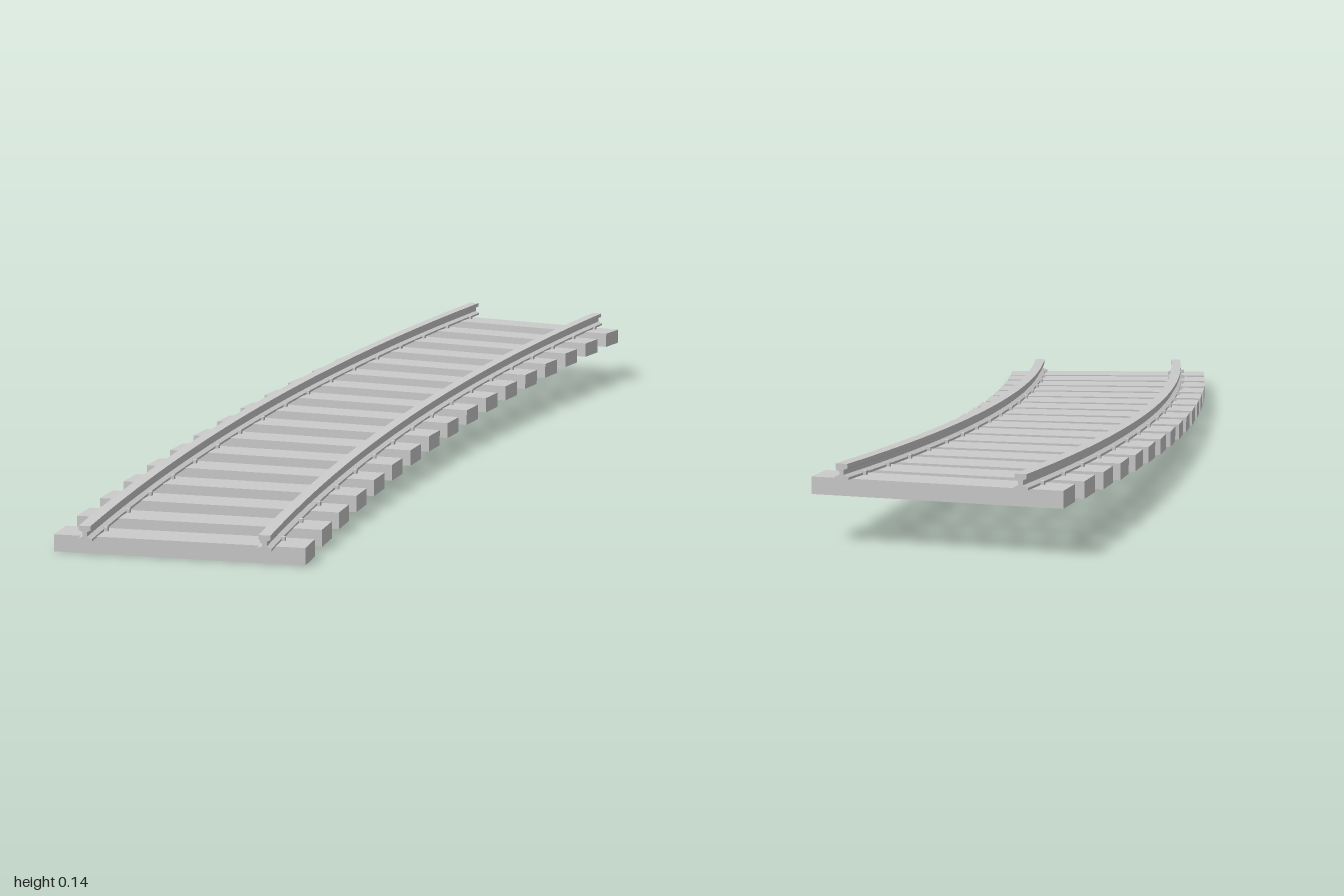
import * as THREE from 'three';

const RADIUS = 6.856, CX = 2.191, CZ = 6.436;    // centre line of the curve
const A0 = THREE.MathUtils.degToRad(27.03), A1 = THREE.MathUtils.degToRad(10.33);
const SLEEPERS = 17, RISE = 0.088, BASE = 0.0274; // climb and height of rail foot
const GAUGE = 0.315, SLEEPER_H = 0.03;

// Maps (distance along 0..1, sideways offset, height above rail foot) to the climbing curve
function onTrack(t, u, h) {
  const a = THREE.MathUtils.lerp(A0, A1, t), r = RADIUS + u;
  return new THREE.Vector3(CX - r * Math.sin(a), BASE + RISE * t + h, CZ - r * Math.cos(a));
}

// Right half of the rail section, mirrored to give foot, web and head
function railShape() {
  const half = [[0.0125, 0], [0.0125, 0.004], [0.004, 0.008], [0.004, 0.016], [0.0105, 0.019], [0.0105, 0.0268]];
  const pts = [...half, ...half.map(([x, y]) => [-x, y]).reverse()];
  return new THREE.Shape(pts.map(([x, y]) => new THREE.Vector2(x, y)));
}

function makeRail(offset, material) {
  const geo = new THREE.ExtrudeGeometry(railShape(), { depth: 1, steps: SLEEPERS * 2, bevelEnabled: false });
  const p = geo.attributes.position;
  for (let i = 0; i < p.count; i++) {
    const v = onTrack(p.getZ(i), offset + p.getX(i), p.getY(i));
    p.setXYZ(i, v.x, v.y, v.z);
  }
  geo.computeVertexNormals();
  return new THREE.Mesh(geo, material);
}

export function createModel() {
  const group = new THREE.Group();
  group.name = 'curvedTrack';
  const material = new THREE.MeshStandardMaterial({ color: 0xcccccc, flatShading: true });

  // Rails
  for (const side of [1, -1]) {
    const rail = makeRail(side * GAUGE / 2, material);
    rail.name = side > 0 ? 'outerRail' : 'innerRail';
    group.add(rail);
  }

  // Sleepers, each with a staggered pair of spikes at both rails
  const sleeperGeo = new THREE.BoxGeometry(0.066, SLEEPER_H, 0.444);
  const spikeGeo = new THREE.BoxGeometry(0.008, 0.007, 0.008);
  for (let i = 0; i < SLEEPERS; i++) {
    const t = (i + 0.5) / SLEEPERS;
    const unit = new THREE.Group();
    unit.name = 'sleeperUnit';
    unit.position.copy(onTrack(t, 0, 0));
    unit.rotation.y = THREE.MathUtils.lerp(A0, A1, t);

    const sleeper = new THREE.Mesh(sleeperGeo, material);
    sleeper.name = 'sleeper';
    sleeper.position.y = -SLEEPER_H / 2;
    unit.add(sleeper);

    for (const rail of [1, -1]) for (const side of [1, -1]) {
      const spike = new THREE.Mesh(spikeGeo, material);
      spike.name = 'spike';
      spike.position.set(side * 0.012, 0.0035, rail * GAUGE / 2 + side * 0.0145);
      unit.add(spike);
    }
    group.add(unit);
  }
  return group;
}
